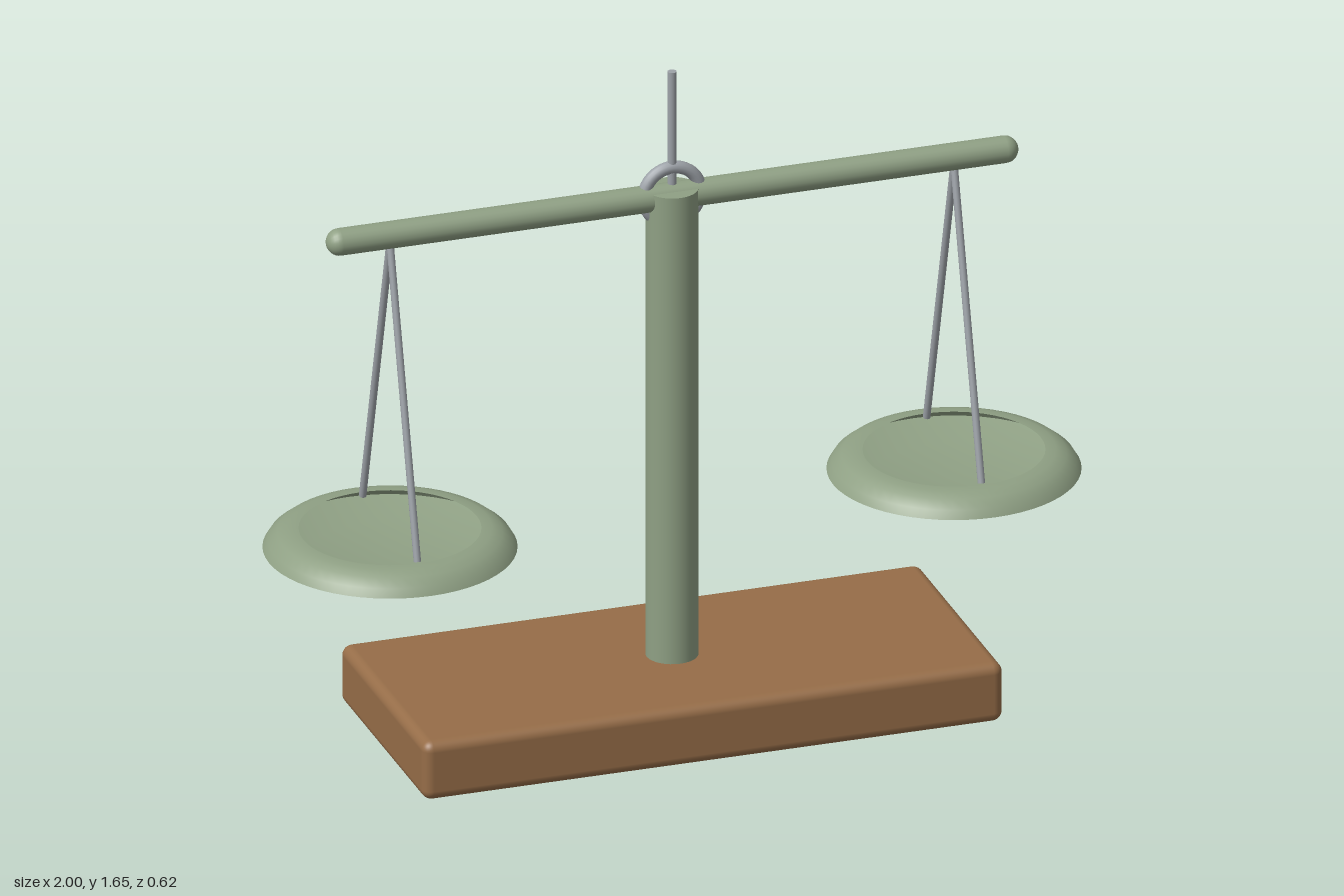
import * as THREE from 'three';
import { RoundedBoxGeometry } from 'three/addons/geometries/RoundedBoxGeometry.js';
import { toCreasedNormals } from 'three/addons/utils/BufferGeometryUtils.js';

export function createModel() {
  const model = new THREE.Group();
  model.name = 'balanceScale';

  const wood = new THREE.MeshStandardMaterial({ color: 0x966d48 });
  const green = new THREE.MeshStandardMaterial({ color: 0x8fa084 });
  const dish = new THREE.MeshStandardMaterial({ color: 0x8fa084, side: THREE.DoubleSide });
  const metal = new THREE.MeshStandardMaterial({ color: 0x9da2a8 });

  function add(parent, name, geometry, material, x = 0, y = 0, z = 0) {
    const mesh = new THREE.Mesh(geometry, material);
    mesh.name = name;
    mesh.position.set(x, y, z);
    parent.add(mesh);
    return mesh;
  }

  // Thin rod between two points
  function rod(parent, name, a, b, radius) {
    const dir = b.clone().sub(a);
    const mid = a.clone().add(b).multiplyScalar(0.5);
    const mesh = add(parent, name, new THREE.CylinderGeometry(radius, radius, dir.length(), 12), metal, mid.x, mid.y, mid.z);
    mesh.quaternion.setFromUnitVectors(new THREE.Vector3(0, 1, 0), dir.normalize());
  }

  // Base and post
  add(model, 'base', new RoundedBoxGeometry(1.44, 0.15, 0.62, 4, 0.025), wood, 0, 0.075, 0);
  add(model, 'post', new THREE.CylinderGeometry(0.0625, 0.0625, 1.2, 32), green, 0, 0.75, 0);

  // Beam with round ends
  add(model, 'beam', new THREE.CapsuleGeometry(0.033, 1.65, 8, 20), green, 0, 1.33, 0).rotation.z = Math.PI / 2;

  // Pivot ring and pointer
  add(model, 'pivotRing', new THREE.TorusGeometry(0.07, 0.0155, 14, 40), metal, 0, 1.333, 0);
  add(model, 'pointer', new THREE.CylinderGeometry(0.011, 0.011, 0.32, 14), metal, 0, 1.49, 0);

  // Dish profile: flat floor, sloping underside, rim curling inward to an open mouth
  const profile = [
    [0, 0.5], [0.2, 0.5], [0.3, 0.527], [0.288, 0.547], [0.265, 0.565], [0.24, 0.574], [0.215, 0.575],
  ].map(([r, y]) => new THREE.Vector2(r, y));
  const dishGeometry = toCreasedNormals(new THREE.LatheGeometry(profile, 56), 0.7);

  // Hanging pans, one on each side
  for (const side of [-1, 1]) {
    const pan = new THREE.Group();
    pan.name = side > 0 ? 'leftPan' : 'rightPan';
    pan.position.x = side * 0.7;
    model.add(pan);
    add(pan, 'dish', dishGeometry, dish);
    for (const z of [-0.2, 0.2]) {
      rod(pan, z > 0 ? 'frontHanger' : 'backHanger', new THREE.Vector3(0, 1.31, 0), new THREE.Vector3(0, 0.573, z), 0.009);
    }
  }

  return model;
}
